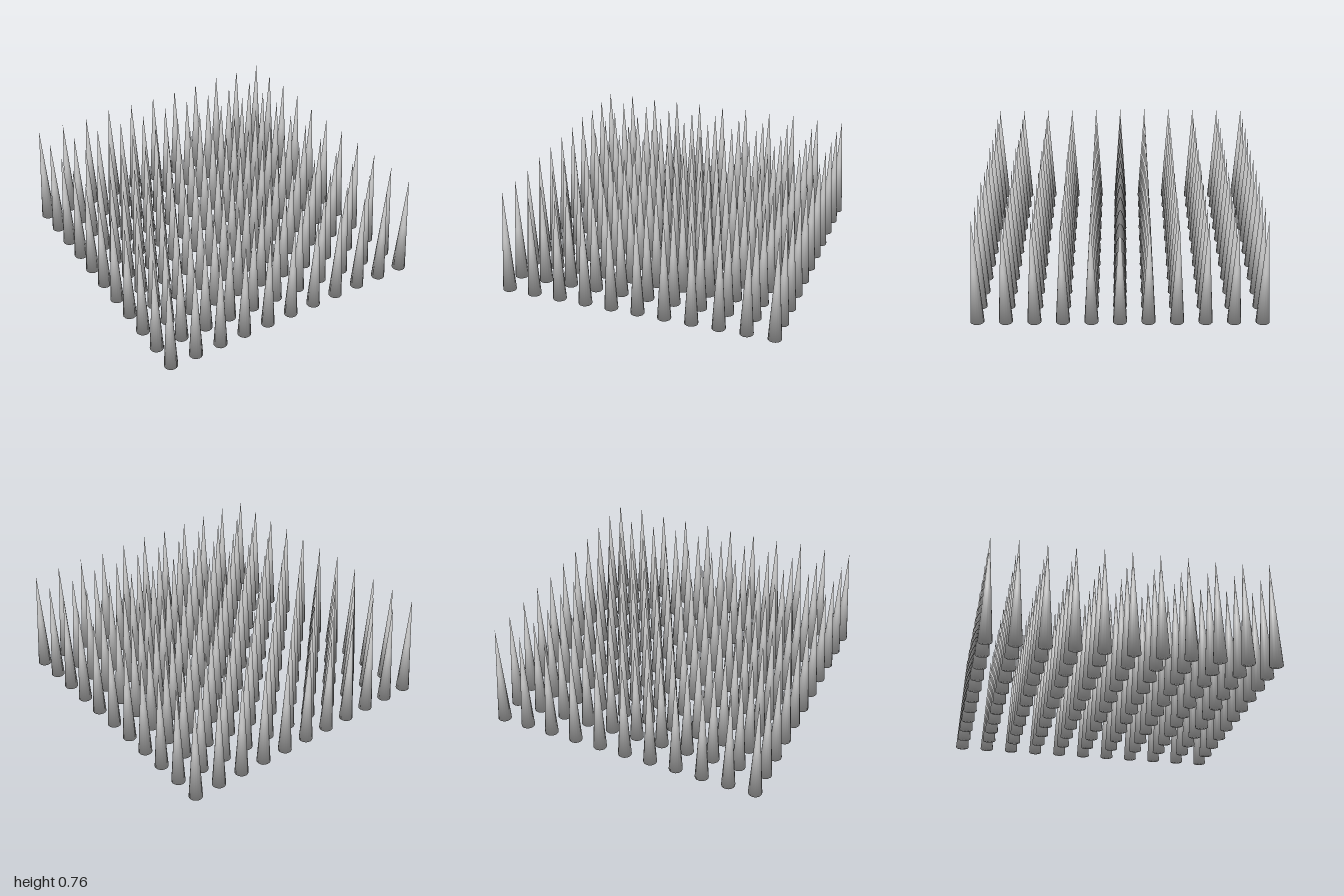
import * as THREE from 'three';
import { mergeVertices } from 'three/addons/utils/BufferGeometryUtils.js';

const COUNT = 11;
const SPACING = 2 / 10.5;
const RADIUS = SPACING / 4;
const HEIGHT = SPACING * 4;

// Closed cone whose normals run smoothly from tip to base without a hard rim
function spikeGeometry() {
  const cone = new THREE.ConeGeometry(RADIUS, HEIGHT, 16, 2);
  cone.translate(0, HEIGHT / 2, 0);
  cone.deleteAttribute('uv');
  cone.deleteAttribute('normal');
  const geometry = mergeVertices(cone, 1e-5);
  geometry.computeVertexNormals();
  const position = geometry.attributes.position;
  const normal = geometry.attributes.normal;
  const n = new THREE.Vector3();
  for (let i = 0; i < position.count; i++) {
    const x = position.getX(i), y = position.getY(i), z = position.getZ(i);
    const r = Math.hypot(x, z);
    if (y < 1e-4 && r > 1e-4) {
      // rim shared by the side and the underside
      n.set(x / r, -0.9, z / r).normalize();
      normal.setXYZ(i, n.x, n.y, n.z);
    }
  }
  return geometry;
}

export function createModel() {
  const model = new THREE.Group();
  model.name = 'spikeField';
  const grey = new THREE.MeshStandardMaterial({ color: 0xcccccc });
  grey.name = 'lightGrey';
  const geometry = spikeGeometry();

  // Square grid of identical spikes
  const half = (COUNT - 1) / 2;
  for (let row = 0; row < COUNT; row++) {
    const line = new THREE.Group();
    line.name = `spikeRow${row + 1}`;
    line.position.z = (row - half) * SPACING;
    for (let col = 0; col < COUNT; col++) {
      const spike = new THREE.Mesh(geometry, grey);
      spike.name = `spike${col + 1}`;
      spike.position.x = (col - half) * SPACING;
      line.add(spike);
    }
    model.add(line);
  }
  return model;
}
